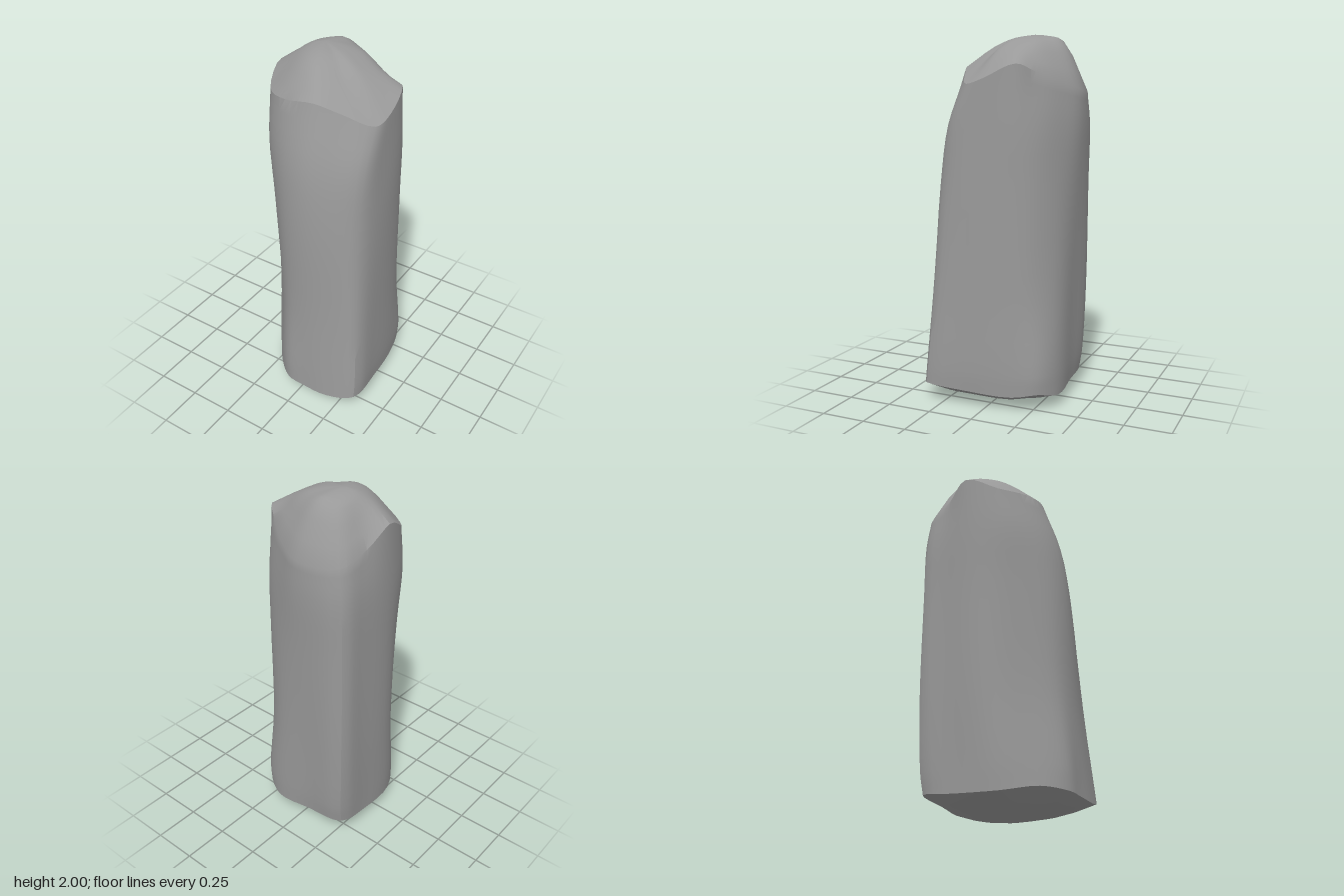
import * as THREE from 'three';
import { toCreasedNormals } from 'three/addons/utils/BufferGeometryUtils.js';

const SUB = 4; // samples per control point around the stone
const ring = (points) => points.map((p) => new THREE.Vector3(...p));

// Horizontal section at a fixed height: x, z pairs from the front towards +x
const level = (y, xz) => ring(xz.map(([x, z]) => [x, y, z]));

const bottomRim = ring([
  [0.04, 0.07, 0.40], [0.2, 0.07, 0.395], [0.355, 0.10, 0.345], [0.36, 0.09, 0.12], [0.33, 0.08, -0.15],
  [0.285, 0.10, -0.285], [0.16, 0.07, -0.355], [-0.06, 0.08, -0.345], [-0.285, 0.09, -0.315],
  [-0.31, 0.07, -0.13], [-0.295, 0.06, 0.12], [-0.19, 0.085, 0.29], [-0.07, 0.075, 0.39],
]);

const foot = level(0.2, [[0.04, 0.395], [0.2, 0.385], [0.355, 0.335], [0.365, 0.12], [0.335, -0.15], [0.288, -0.29],
  [0.16, -0.358], [-0.06, -0.355], [-0.295, -0.33], [-0.315, -0.13], [-0.305, 0.11], [-0.195, 0.275], [-0.08, 0.385]]);
const low = level(0.6, [[0.03, 0.375], [0.2, 0.355], [0.335, 0.30], [0.355, 0.1], [0.32, -0.16], [0.26, -0.268],
  [0.135, -0.352], [-0.06, -0.365], [-0.31, -0.345], [-0.33, -0.17], [-0.325, 0.06], [-0.215, 0.22], [-0.095, 0.345]]);
const middle = level(1.2, [[0.03, 0.365], [0.18, 0.33], [0.31, 0.25], [0.345, 0.08], [0.315, -0.16], [0.252, -0.265],
  [0.12, -0.35], [-0.06, -0.385], [-0.315, -0.345], [-0.342, -0.2], [-0.345, 0.02], [-0.26, 0.19], [-0.115, 0.33]]);
const high = level(1.52, [[0.03, 0.33], [0.17, 0.285], [0.31, 0.2], [0.335, 0.05], [0.315, -0.16], [0.245, -0.262],
  [0.11, -0.345], [-0.06, -0.4], [-0.31, -0.348], [-0.348, -0.2], [-0.36, 0], [-0.295, 0.17], [-0.135, 0.295]]);

const topRim = ring([
  [0.035, 1.83, 0.235], [0.16, 1.79, 0.19], [0.31, 1.73, 0.11], [0.33, 1.76, 0], [0.3, 1.83, -0.165],
  [0.215, 1.79, -0.24], [0.09, 1.74, -0.33], [-0.07, 1.70, -0.398], [-0.29, 1.70, -0.335],
  [-0.335, 1.76, -0.19], [-0.37, 1.86, -0.06], [-0.31, 1.78, 0.12], [-0.145, 1.80, 0.22],
]);

// Edge of the nearly level summit
const shoulder = ring([
  [-0.04, 1.94, 0.1], [0.03, 1.92, 0.085], [0.1, 1.895, 0.05], [0.14, 1.915, 0], [0.14, 1.925, -0.1],
  [0.09, 1.94, -0.18], [0, 1.95, -0.235], [-0.1, 1.965, -0.265], [-0.2, 1.94, -0.24],
  [-0.23, 1.95, -0.15], [-0.235, 1.955, -0.06], [-0.2, 1.94, 0.03], [-0.12, 1.945, 0.08],
]);

// Rounds a section into a smooth closed loop
function smoothLoop(points) {
  const curve = new THREE.CatmullRomCurve3(points, true, 'centripetal');
  const n = points.length * SUB;
  return Array.from({ length: n }, (_, i) => curve.getPoint(i / n));
}

// Curves each upright column through the given loops; returns the loops of the finer skin
function refine(loops, steps) {
  const columns = loops[0].map((_, i) =>
    new THREE.CatmullRomCurve3(loops.map((l) => l[i]), false, 'centripetal').getPoints(steps));
  return columns[0].map((_, r) => columns.map((c) => c[r]));
}

// Domed ring between a rim (t = 0) and its pole (t = 1)
const domeRing = (rim, pole, t, power) => rim.map((p) => {
  const q = p.clone().lerp(pole, t);
  q.y = p.y + (pole.y - p.y) * (1 - Math.pow(1 - t, power));
  return q;
});

// Joins loops, listed from bottom pole to top pole, into one skin
function loft(rings) {
  const n = rings[0].length;
  const index = [];
  for (let r = 0; r < rings.length - 1; r++) {
    for (let i = 0; i < n; i++) {
      const a = r * n + i, b = r * n + (i + 1) % n;
      if (r > 0) index.push(a, b, b + n);
      if (r < rings.length - 2) index.push(a, b + n, a + n);
    }
  }
  const geometry = new THREE.BufferGeometry().setFromPoints(rings.flat());
  geometry.setIndex(index);
  return toCreasedNormals(geometry, 0.5);
}

export function createModel() {
  const group = new THREE.Group();
  group.name = 'standingStone';

  // Upright shaft
  const shaft = refine([bottomRim, foot, low, middle, high, topRim].map(smoothLoop), 20);

  // Shallow rounded underside
  const basePole = new THREE.Vector3(0.1, 0, 0);
  const underside = [1, 0.75, 0.5, 0.25].map((t) => domeRing(shaft[0], basePole, t, 2));

  // Crown: steep flanks up to the shoulder, then a low dome
  const summit = new THREE.Vector3(-0.12, 2, -0.1);
  const shoulderLoop = smoothLoop(shoulder);
  const dome = [0.5, 1].map((t) => domeRing(shoulderLoop, summit, t, 1.9));
  const crown = refine([shaft[shaft.length - 1], shoulderLoop, ...dome], 9).slice(1);

  const stone = new THREE.Mesh(
    loft([...underside, ...shaft, ...crown]),
    new THREE.MeshStandardMaterial({ color: 0x999999 }),
  );
  stone.name = 'stone';
  group.add(stone);
  return group;
}
